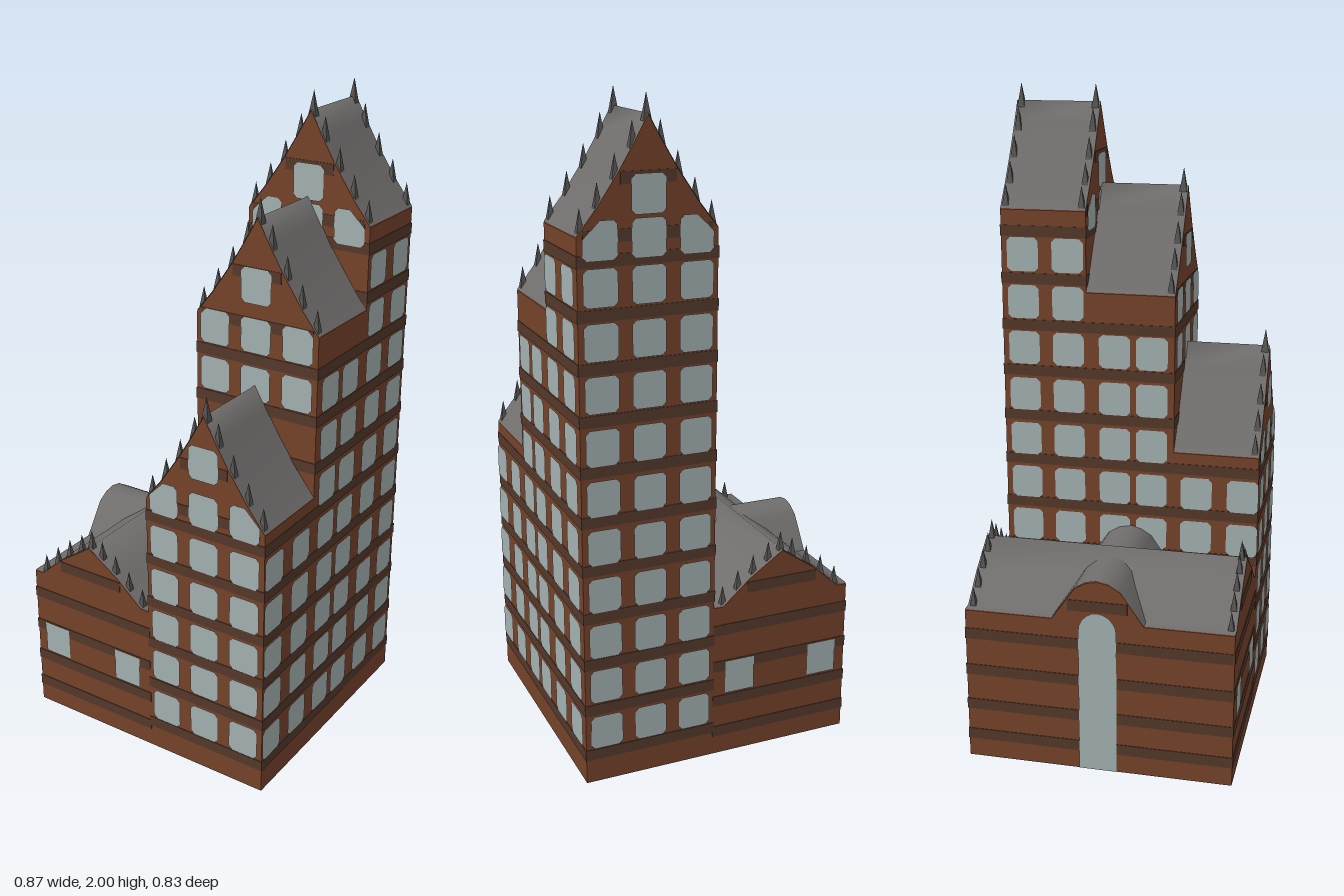
import * as THREE from 'three';

const mat = (name, color, side = THREE.FrontSide) => {
  const m = new THREE.MeshStandardMaterial({ color, side });
  m.name = name;
  return m;
};

export function createModel() {
  const brick = mat('brick red', 0x74422a);
  const darkBrick = mat('dark brick', 0x54382a);
  const glass = mat('pale glass', 0xa3b1b0);
  const slate = mat('slate grey', 0x706e6d, THREE.DoubleSide);
  const stone = mat('dark stone', 0x555453);
  const model = new THREE.Group();
  model.name = 'steppedBrickBuilding';

  const add = (parent, name, geo, material, x = 0, y = 0, z = 0) => {
    const m = new THREE.Mesh(geo, material);
    m.name = name;
    m.position.set(x, y, z);
    parent.add(m);
    return m;
  };

  // Half roof profiles: [distance from the ridge, height], ridge to eave
  const towerRoof = e => [[0, e + 0.31], [0.04, e + 0.24], [0.085, e + 0.165], [0.15, e + 0.07], [0.205, e]];
  const annexRoof = [[0, 0.64], [0.11, 0.565], [0.195, 0.49], [0.225, 0.49]];
  const dormerRoof = [[0, 0.62], [0.035, 0.613], [0.07, 0.592], [0.14, 0.49]];

  // Roof height at a distance from the ridge, and half width at a height
  const heightAt = (prof, d) => {
    for (let i = 1; i < prof.length; i++) {
      const [a, ya] = prof[i - 1], [b, yb] = prof[i];
      if (d <= b) return ya + (yb - ya) * (d - a) / (b - a);
    }
    return prof[prof.length - 1][1];
  };
  const halfWidthAt = (prof, y) => {
    for (let d = prof[prof.length - 1][0]; d > 0; d -= 0.001) if (heightAt(prof, d) >= y) return d;
    return 0;
  };

  // Gabled block: walls, smooth roof skin, brick bands and gable spikes
  function block(name, prof, length, base, bands, spikeZ) {
    const g = new THREE.Group();
    g.name = name;
    const right = prof.map(([d, y]) => new THREE.Vector2(d, y));
    const left = prof.slice(1).reverse().map(([d, y]) => new THREE.Vector2(-d, y));
    const top = [...left, ...right];
    const w = prof[prof.length - 1][0];
    const shape = new THREE.Shape([new THREE.Vector2(-w, base), new THREE.Vector2(w, base), ...[...top].reverse()]);
    const walls = new THREE.ExtrudeGeometry(shape, { depth: length, bevelEnabled: false });
    add(g, 'walls', walls, brick, 0, 0, -length / 2);

    const pos = [], idx = [];
    top.forEach((p, i) => {
      pos.push(p.x, p.y + 0.003, length / 2, p.x, p.y + 0.003, -length / 2);
      if (i) {
        const a = 2 * i - 2;
        idx.push(a, a + 2, a + 1, a + 1, a + 2, a + 3);
      }
    });
    const roof = new THREE.BufferGeometry();
    roof.setAttribute('position', new THREE.Float32BufferAttribute(pos, 3));
    roof.setIndex(idx);
    roof.computeVertexNormals();
    add(g, 'roof', roof, slate);

    for (const y of bands) {
      const hw = halfWidthAt(prof, y + 0.017);
      const full = hw > w - 0.002;
      add(g, 'brickBand', new THREE.BoxGeometry(2 * hw + (full ? 0.004 : -0.006), 0.034, length + 0.004), darkBrick, 0, y, 0);
    }

    const cone = new THREE.ConeGeometry(0.02, 0.09, 4).rotateY(Math.PI / 4).toNonIndexed();
    cone.computeVertexNormals();
    for (const z of spikeZ) for (const d of [0, 0.04, 0.09, 0.14, 0.19]) for (const s of d ? [-1, 1] : [1])
      add(g, 'spike', cone, stone, s * d, heightAt(prof, d) + 0.012, z);
    model.add(g);
    return g;
  }

  // Window plate with clipped corners; cutL and cutR trim the top corners
  function pane(w, h, cutL, cutR, c) {
    const a = w / 2, b = h / 2;
    const pts = [[-a + c, -b], [a - c, -b], [a, -b + c], [a, b - cutR], [a - cutR, b], [-a + cutL, b], [-a, b - cutL], [-a, -b + c]];
    return new THREE.ShapeGeometry(new THREE.Shape(pts.map(p => new THREE.Vector2(...p))));
  }
  const win = (x, y, z, turn, cutL = 0.012, cutR = 0.012) => {
    add(model, 'window', pane(0.1, 0.106, cutL, cutR, 0.012), glass, x, y, z).rotation.y = turn;
  };

  const rows = [0.163, 0.313, 0.457, 0.602, 0.749, 0.896, 1.045, 1.197, 1.344, 1.493];
  const bandList = eave => [
    ...Array.from({ length: 11 }, (_, k) => 0.09 + 0.1475 * k).filter(y => y < eave - 0.02), eave, eave + 0.15];
  const X = 0.225, columns = [-0.14, 0, 0.14];

  // Three tower sections stepping up towards the back
  const sections = [
    { name: 'frontTower', eave: 0.88, z0: 0.14, z1: 0.41, cols: [0.362, 0.214], sideRows: 5, front: rows.slice(0, 5), gable: [0.896, 1.045], spikes: [0.12] },
    { name: 'middleTower', eave: 1.38, z0: -0.14, z1: 0.14, cols: [0.069, -0.05], sideRows: 8, front: [1.197], gable: [1.344, 1.493], spikes: [0.125] },
    { name: 'rearTower', eave: 1.63, z0: -0.41, z1: -0.14, cols: [-0.198, -0.341], sideRows: 10, front: [], gable: [1.62, 1.735], spikes: [0.12, -0.12] },
  ];
  for (const s of sections) {
    const len = s.z1 - s.z0;
    const b = block(s.name, towerRoof(s.eave), len, 0, bandList(s.eave), s.spikes);
    b.position.set(X, 0, (s.z0 + s.z1) / 2);
    // Side windows; the left-hand wall shows only above the annex
    for (const z of s.cols) rows.slice(0, s.sideRows).forEach((y, i) => {
      win(0.434, y, z, Math.PI / 2);
      if (i > 2) win(0.016, y, z, -Math.PI / 2);
    });
    // Gable end windows
    const faces = [[s.z1 + 0.004, 0, s.front]];
    if (s.name === 'rearTower') faces.push([s.z0 - 0.004, Math.PI, rows]);
    const cut = s.name === 'middleTower' ? 0.02 : 0.05;
    for (const [z, turn, list] of faces) {
      const dir = turn ? -1 : 1;
      for (const c of columns) {
        for (const y of list) win(X + dir * c, y, z, turn);
        win(X + dir * c, s.gable[0], z, turn, c < 0 ? cut : 0.012, c > 0 ? cut : 0.012);
      }
      win(X, s.gable[1], z, turn);
    }
  }

  // Low annex with a cross dormer
  const annexBands = [0.075, 0.178, 0.295, 0.415, 0.54];
  block('annex', annexRoof, 0.82, 0, annexBands, [0.393, -0.393]).position.set(-0.205, 0, 0);
  const dormer = block('crossDormer', dormerRoof, 0.45, 0.44, [0.54], []);
  dormer.rotation.y = Math.PI / 2;
  dormer.position.set(-0.205, 0, 0);
  for (const x of [-0.348, -0.066]) for (const s of [1, -1])
    add(model, 'annexWindow', pane(0.096, 0.106, 0, 0, 0), glass, x, 0.255, s * 0.414).rotation.y = s > 0 ? 0 : Math.PI;

  // Tall arched opening on the outer annex wall
  const arch = new THREE.Shape();
  arch.moveTo(-0.058, 0);
  arch.lineTo(0.058, 0);
  arch.lineTo(0.058, 0.46);
  arch.absellipse(0, 0.46, 0.058, 0.06, 0, Math.PI, false);
  arch.lineTo(-0.058, 0);
  add(model, 'archedWindow', new THREE.ShapeGeometry(arch, 5), glass, -0.434, 0, 0).rotation.y = -Math.PI / 2;

  // Underside plate
  add(model, 'base', new THREE.BoxGeometry(0.859, 0.004, 0.819), stone, 0, 0, 0);
  model.position.y = 0.002;
  const root = new THREE.Group();
  root.name = 'building';
  root.add(model);
  return root;
}
